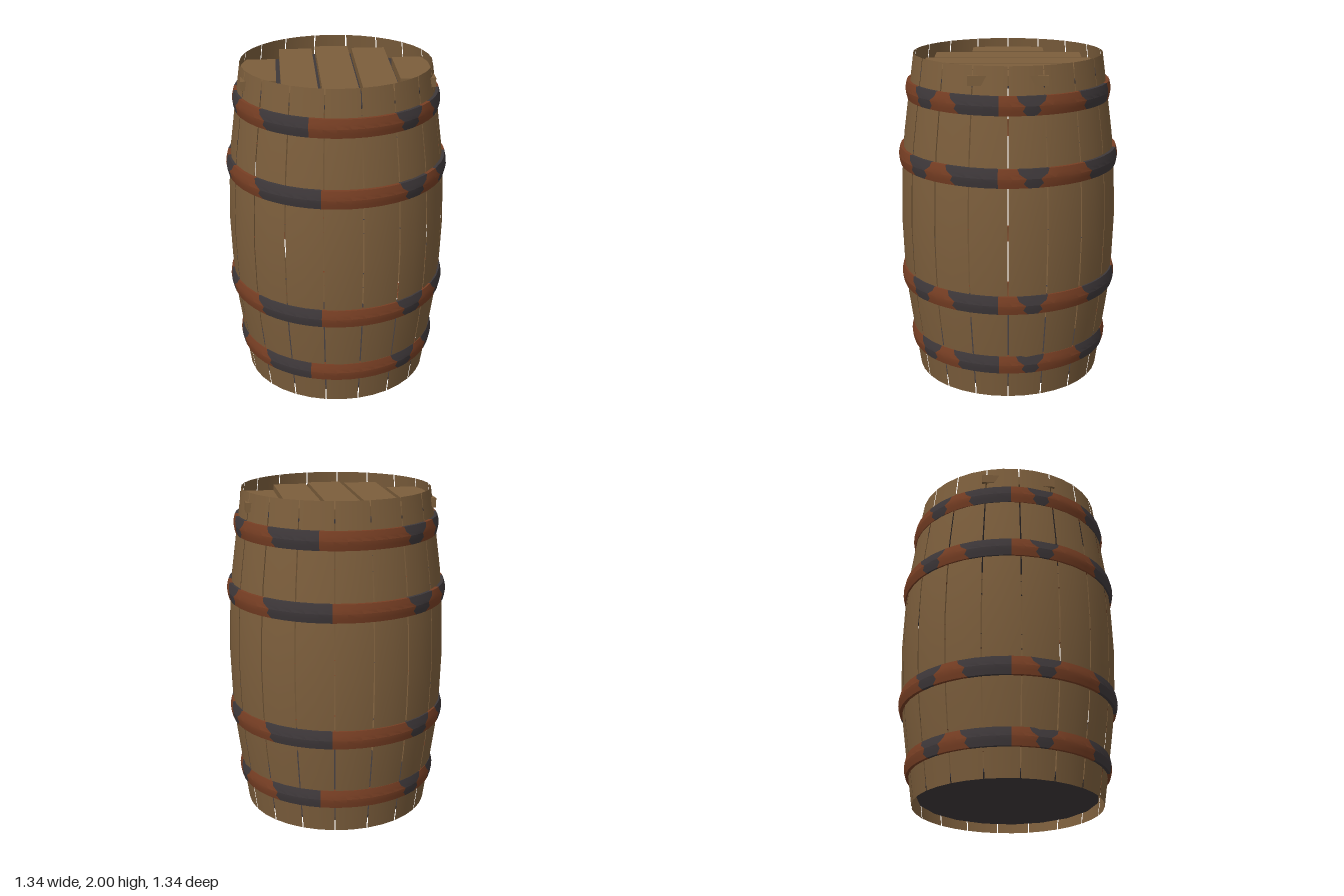
import * as THREE from 'three';
import { toCreasedNormals } from 'three/addons/utils/BufferGeometryUtils.js';

const RAD = Math.PI / 180;

// Half-turn pattern of a hoop: [start angle, ragged start?, material 0 iron / 1 rust]
const PATCHES = [
  [-18, 0, 1], [32, 1, 0], [46, 1, 1], [60, 1, 0],
  [85, 0, 1], [97, 1, 0], [108, 1, 1], [134, 1, 0],
];
// Sideways shift of a ragged edge at each row of the hoop, in degrees
const JAG = [3, 3, 0.5, 2, -1.5, -2.5, -2.5];

function hoopGeometry(y0, height, inner, outer, shift) {
  const rows = [[inner, 0], [outer - 0.011, 0], [outer - 0.004, 0.25], [outer, 0.5],
    [outer - 0.004, 0.75], [outer - 0.011, 1], [inner, 1]];
  const positions = [], index = [];
  const geometry = new THREE.BufferGeometry();
  const total = PATCHES.length * 2;

  // Angle of patch border i at a given row; rust spreads wider at the bottom
  const border = (i, row) => {
    const [angle, ragged, colour] = PATCHES[i % PATCHES.length];
    const turn = Math.floor(i / PATCHES.length) * 180;
    const move = angle < 0 ? shift : 0;
    return angle + turn + move + ragged * JAG[row] * (colour ? -1 : 1);
  };

  for (let i = 0; i < total; i++) {
    const steps = Math.ceil((border(i + 1, 3) - border(i, 3)) / 8);
    const base = positions.length / 3, first = index.length;
    for (let s = 0; s <= steps; s++) {
      rows.forEach(([r, v], row) => {
        const a = THREE.MathUtils.lerp(border(i, row), border(i + 1, row), s / steps) * RAD;
        positions.push(r * Math.sin(a), y0 + v * height, r * Math.cos(a));
      });
    }
    for (let s = 0; s < steps; s++) {
      for (let row = 0; row < rows.length - 1; row++) {
        const a = base + s * rows.length + row, b = a + rows.length;
        index.push(a, b, a + 1, b, b + 1, a + 1);
      }
    }
    geometry.addGroup(first, index.length - first, PATCHES[i % PATCHES.length][2]);
  }
  geometry.setAttribute('position', new THREE.Float32BufferAttribute(positions, 3));
  geometry.setIndex(index);
  return toCreasedNormals(geometry, 0.3);
}

export function createModel() {
  const model = new THREE.Group();
  model.name = 'barrel';

  const material = (name, color) =>
    Object.assign(new THREE.MeshStandardMaterial({ color, side: THREE.DoubleSide }), { name });
  const wood = material('wood', 0x7c5e3c);
  const iron = material('darkIron', 0x3e383a);
  const rust = material('rust', 0x783f24);

  const add = (name, geometry, mat, x = 0, y = 0, z = 0) => {
    const mesh = new THREE.Mesh(geometry, mat);
    mesh.name = name;
    mesh.position.set(x, y, z);
    model.add(mesh);
  };

  // Bulging staves, thin shells with narrow gaps between them
  const half = [[0.567, 0], [0.602, 0.25], [0.636, 0.5], [0.655, 0.75], [0.663, 1]];
  const profile = [...half, ...half.slice(0, -1).reverse().map(([r, y]) => [r, 2 - y])]
    .map(([r, y]) => new THREE.Vector2(r, y));
  const gap = 0.7 * RAD;
  for (let i = 0; i < 18; i++) {
    const start = (i * 20 - 10) * RAD + gap / 2;
    add('stave', new THREE.LatheGeometry(profile, 2, start, 20 * RAD - gap), wood);
  }

  // Rusty hoops: bottom edge, inner radius, outer radius, pattern shift
  for (const [y, inner, outer, shift] of [
    [0.17, 0.585, 0.619, 0], [0.57, 0.635, 0.67, 7],
    [1.33, 0.635, 0.67, 7], [1.73, 0.585, 0.619, 0],
  ]) add('hoop', hoopGeometry(y, 0.11, inner, outer, shift), [iron, rust]);

  // Dark round ends set inside the rims
  const disc = new THREE.CylinderGeometry(0.54, 0.54, 0.02, 18);
  add('bottomDisc', disc, iron, 0, 0.06, 0);
  add('topDisc', disc, iron, 0, 1.88, 0);

  // Lid planks, shorter towards the sides
  for (const [x, length] of [[0, 1], [0.228, 0.9], [0.458, 0.45]]) {
    for (const side of x ? [-1, 1] : [1]) {
      add('lidPlank', new THREE.BoxGeometry(0.205, 0.055, length), wood, side * x, 1.9175, 0);
    }
  }
  return model;
}
